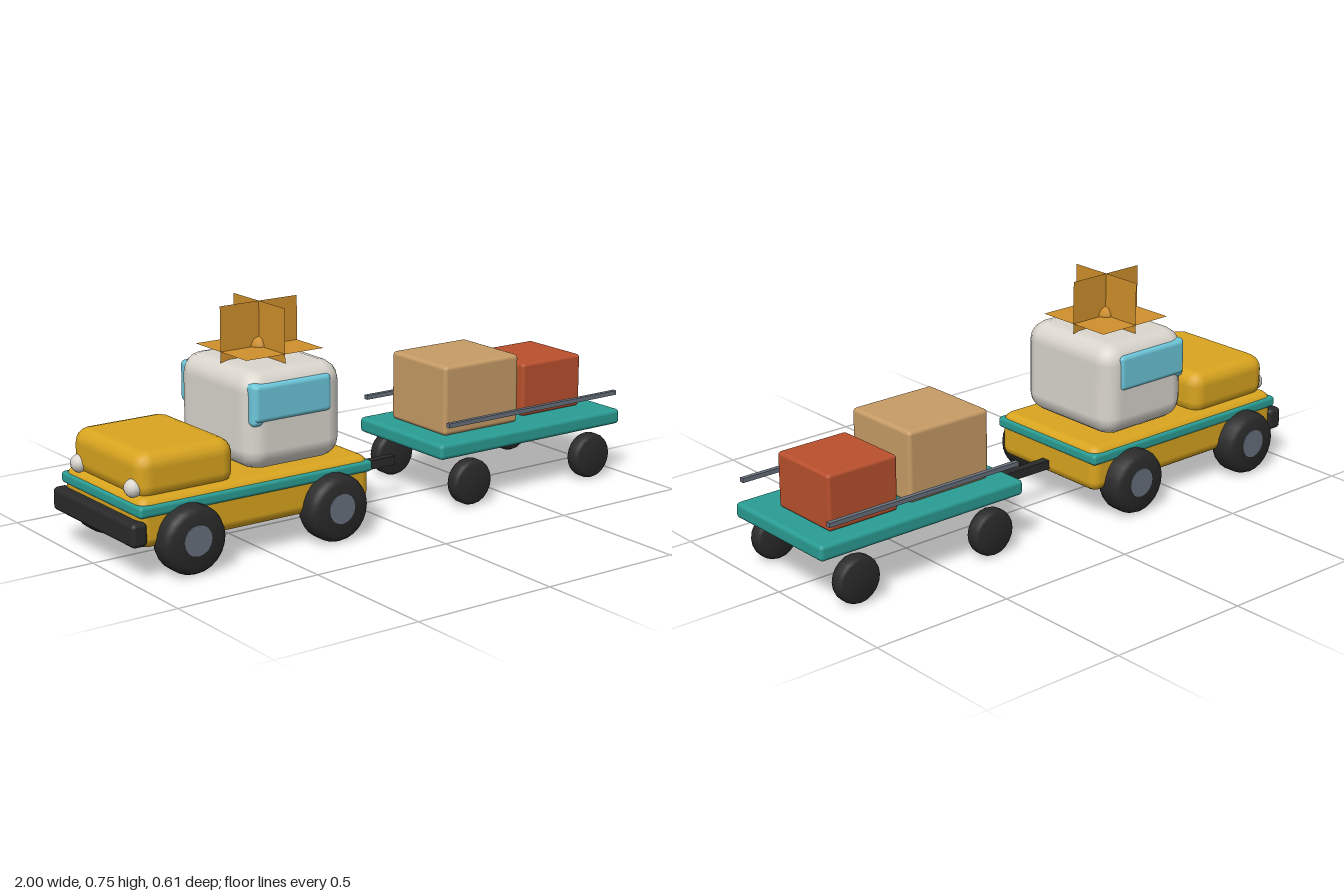
import * as THREE from 'three';
import { toCreasedNormals } from 'three/addons/utils/BufferGeometryUtils.js';
import { RoundedBoxGeometry } from 'three/addons/geometries/RoundedBoxGeometry.js';

const material = (name, color, extra = {}) => {
  const m = new THREE.MeshStandardMaterial({ color, ...extra });
  m.name = name;
  return m;
};

export function createModel() {
  const yellow = material('yellow paint', 0xd9a51f);
  const teal = material('teal paint', 0x2a9d94);
  const white = material('off white', 0xdad6ce);
  const glass = material('glass blue', 0x6cc6da);
  const rubber = material('dark rubber', 0x2a2a2a);
  const steel = material('slate steel', 0x67707c);
  const tan = material('tan crate', 0xc79c66);
  const red = material('red crate', 0xb9502d);
  const amber = material('amber', 0xd0902c, { side: THREE.DoubleSide });

  const model = new THREE.Group();
  const tractor = new THREE.Group();
  tractor.name = 'tractor';
  const trailer = new THREE.Group();
  trailer.name = 'trailer';
  model.add(tractor, trailer);

  const add = (parent, name, geometry, mat, x = 0, y = 0, z = 0) => {
    const mesh = new THREE.Mesh(geometry, mat);
    mesh.name = name;
    mesh.position.set(x, y, z);
    parent.add(mesh);
    return mesh;
  };

  // Box given by its limits on each axis, with rounded edges
  const block = (parent, name, mat, [x0, x1], [y0, y1], [z0, z1], radius, segments = 2) => {
    const size = [x1 - x0, y1 - y0, z1 - z0];
    const geometry = radius
      ? new RoundedBoxGeometry(...size, segments, radius)
      : new THREE.BoxGeometry(...size);
    return add(parent, name, geometry, mat, (x0 + x1) / 2, (y0 + y1) / 2, (z0 + z1) / 2);
  };

  // Tyre with rounded shoulders, turned around the z axis
  const tyre = (r, width, bevel, sides) => {
    const h = width / 2;
    const profile = [
      [0, -h], [r - bevel, -h], [r - bevel * 0.3, -h + bevel * 0.3], [r, -h + bevel],
      [r, h - bevel], [r - bevel * 0.3, h - bevel * 0.3], [r - bevel, h], [0, h],
    ].map(([x, y]) => new THREE.Vector2(x, y));
    const lathe = new THREE.LatheGeometry(profile, sides).rotateX(Math.PI / 2);
    return toCreasedNormals(lathe, 0.85);
  };

  // Tractor chassis, trim and hood
  block(tractor, 'chassis', yellow, [-0.965, -0.105], [0.098, 0.257], [-0.24, 0.24], 0.035);
  block(tractor, 'trim', teal, [-0.97, -0.1], [0.2, 0.238], [-0.246, 0.246], 0.012);
  block(tractor, 'hood', yellow, [-0.95, -0.6], [0.235, 0.39], [-0.214, 0.214], 0.05);
  block(tractor, 'bumper', rubber, [-1, -0.945], [0.113, 0.19], [-0.25, 0.25], 0.015);

  // Cab with side windows and a windscreen whose ends show at the sides
  block(tractor, 'cab', white, [-0.555, -0.185], [0.257, 0.579], [-0.215, 0.215], 0.068);
  block(tractor, 'windscreen', glass, [-0.54, -0.497], [0.408, 0.545], [-0.215, 0.215], 0.015);
  for (const s of [-1, 1]) {
    block(tractor, 'sideWindow', glass, [-0.535, -0.243], [0.42, 0.543],
      s > 0 ? [0.18, 0.221] : [-0.221, -0.18], 0.016);
    add(tractor, 'headlight', new THREE.SphereGeometry(0.03, 12, 8), white, -0.945, 0.278, s * 0.165);
  }

  // Roof beacon with three crossed square plates
  const beacon = new THREE.Group();
  beacon.name = 'beacon';
  beacon.position.set(-0.372, 0.608, 0);
  tractor.add(beacon);
  add(beacon, 'lamp', new THREE.SphereGeometry(0.032, 6, 5), amber);
  const plate = new THREE.PlaneGeometry(0.294, 0.294);
  add(beacon, 'plateAcross', plate, amber);
  add(beacon, 'plateAlong', plate, amber).rotation.y = Math.PI / 2;
  add(beacon, 'plateFlat', plate, amber).rotation.x = -Math.PI / 2;

  // Tractor wheels and hubs
  const bigTyre = tyre(0.111, 0.1, 0.025, 24);
  const hub = new THREE.CylinderGeometry(0.05, 0.05, 0.02, 16).rotateX(Math.PI / 2);
  for (const x of [-0.802, -0.263]) {
    for (const s of [-1, 1]) {
      add(tractor, 'tractorWheel', bigTyre, rubber, x, 0.114, s * 0.25);
      add(tractor, 'hub', hub, steel, x, 0.118, s * 0.293);
    }
  }

  // Drawbar
  block(tractor, 'drawbar', rubber, [-0.12, 0.165], [0.121, 0.152], [-0.015, 0.015], 0);

  // Trailer bed, rails and wheels
  block(trailer, 'bed', teal, [0.195, 0.997], [0.178, 0.231], [-0.229, 0.229], 0.014);
  const smallTyre = tyre(0.079, 0.054, 0.014, 20);
  for (const s of [-1, 1]) {
    block(trailer, 'rail', steel, [0.222, 0.968], [0.289, 0.304],
      [s * 0.229 - 0.008, s * 0.229 + 0.008], 0);
    for (const x of [0.326, 0.862]) add(trailer, 'trailerWheel', smallTyre, rubber, x, 0.084, s * 0.216);
  }

  // Cargo
  block(trailer, 'largeCrate', tan, [0.273, 0.594], [0.231, 0.471], [-0.148, 0.148], 0.014);
  block(trailer, 'smallCrate', red, [0.65, 0.914], [0.231, 0.418], [-0.16, 0.107], 0.012);

  return model;
}
